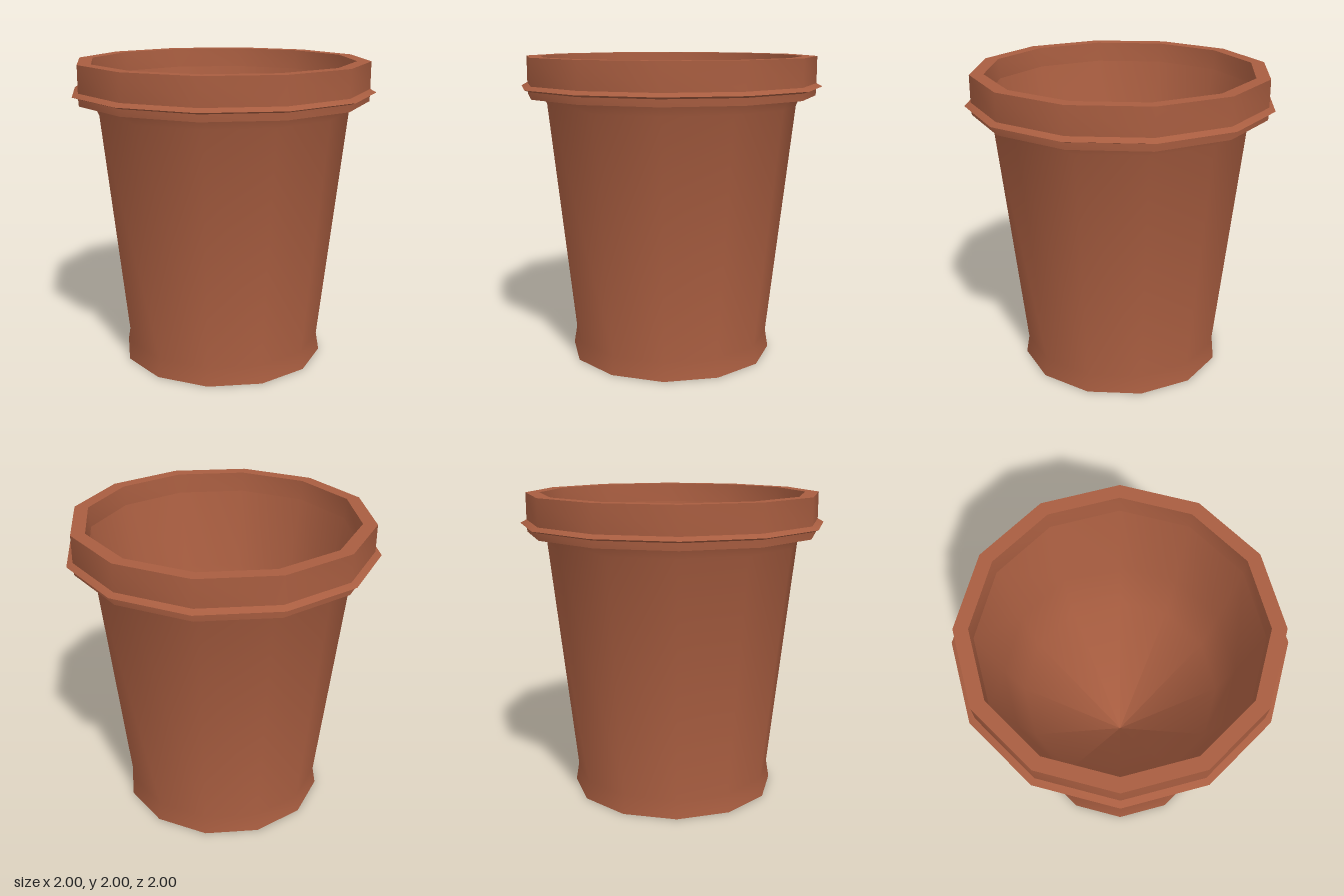
import * as THREE from 'three';
import { toCreasedNormals } from 'three/addons/utils/BufferGeometryUtils.js';

const SIDES = 12;

export function createModel() {
  const group = new THREE.Group();
  group.name = 'flowerPot';
  const terracotta = new THREE.MeshStandardMaterial({ color: 0xa85d40 });
  terracotta.name = 'terracotta';

  // Turns a [radius, height] profile into a twelve-sided part, smooth around its walls
  const turn = (name, profile) => {
    const points = profile.map(([r, y]) => new THREE.Vector2(r, y));
    const geometry = toCreasedNormals(new THREE.LatheGeometry(points, SIDES), THREE.MathUtils.degToRad(35));
    const mesh = new THREE.Mesh(geometry, terracotta);
    mesh.name = name;
    group.add(mesh);
  };

  // Recessed underside and inner face of the foot
  turn('base', [[0, 0.08], [0.65, 0.08], [0.68, 0]]);

  // Tapered wall with a flared foot and a small shoulder under the rim
  turn('outerWall', [[0.68, 0], [0.66, 0.12], [0.83, 1.68], [0.86, 1.745]]);

  // Thick rim with a sharp bead around it
  turn('rim', [
    [0.86, 1.745], [0.957, 1.745], [0.96, 1.79], [1, 1.803], [0.96, 1.825],
    [0.96, 2], [0.87, 2], [0.86, 1.87],
  ]);

  // Hollow inside, narrowing to the bottom
  turn('innerWall', [[0.86, 1.87], [0.745, 1.35], [0.65, 1], [0, 0.1]]);

  return group;
}
